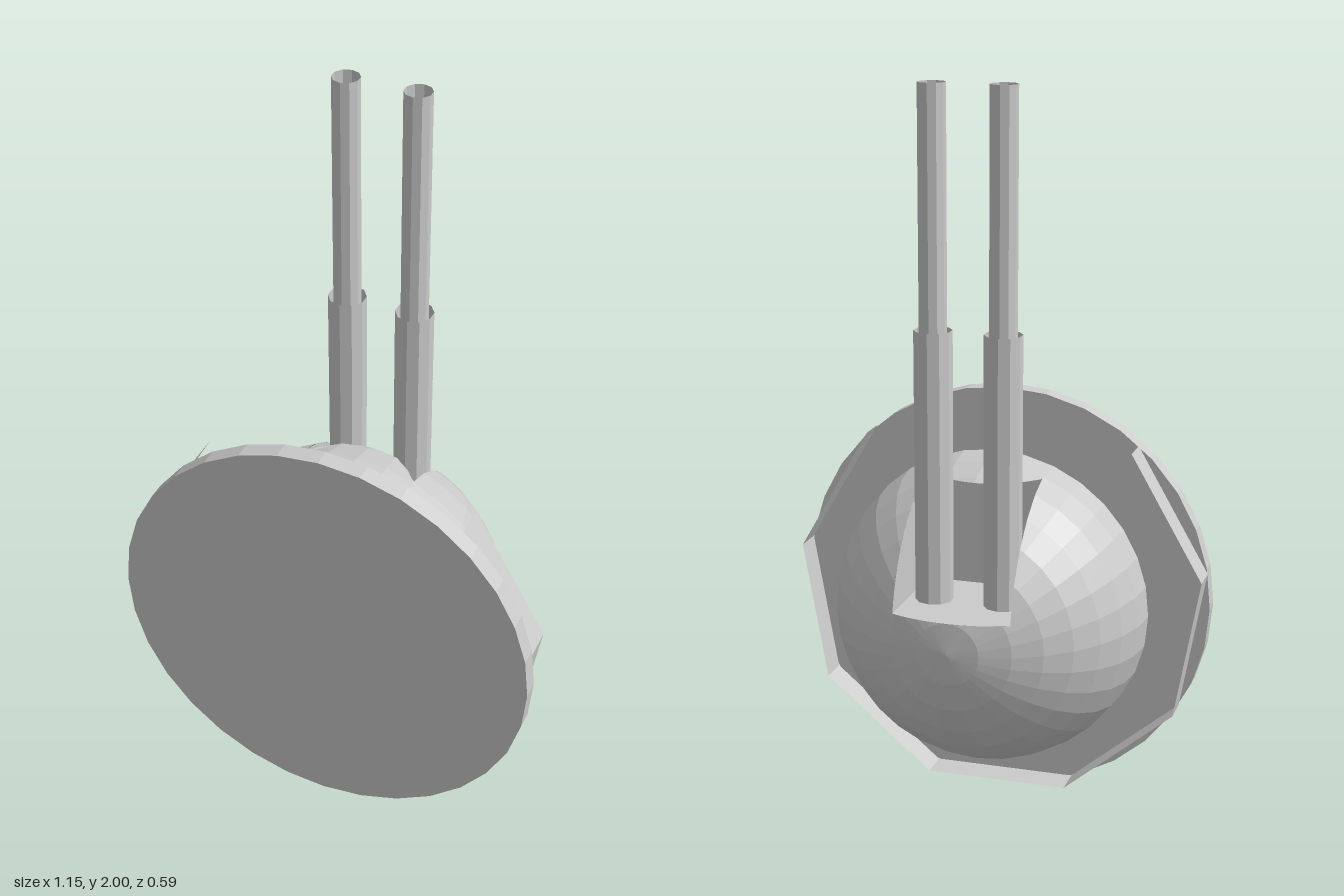
import * as THREE from 'three';

const CY = 0.577;                       // height of the mount's axis
const DOME = { r: 0.43, z: 0.135 };     // dome radius and rim position
const SLOT = { x: 0.158, low: 0.66, high: 0.965, front: 0.04 };

const material = new THREE.MeshStandardMaterial({
  color: 0xcccccc, flatShading: true, side: THREE.DoubleSide,
});

function addMesh(group, name, geometry) {
  const mesh = new THREE.Mesh(geometry, material);
  mesh.name = name;
  group.add(mesh);
  return mesh;
}

// Cylinder lying along z between two depths
function disc(radius, z0, z1, sides) {
  return new THREE.CylinderGeometry(radius, radius, z1 - z0, sides)
    .rotateX(Math.PI / 2)
    .translate(0, CY, (z0 + z1) / 2);
}

// Keep the part of a polygon where sign * (p[axis] - limit) >= 0
function clip(poly, axis, limit, sign) {
  const out = [];
  poly.forEach((a, i) => {
    const b = poly[(i + 1) % poly.length];
    const da = sign * (a[axis] - limit);
    const db = sign * (b[axis] - limit);
    if (da >= 0) out.push(a);
    if (da * db < 0) out.push(a.clone().lerp(b, da / (da - db)));
  });
  return out;
}

// Hemisphere bulging to the back, with the barrel slot cut out of its shell
function domeGeometry() {
  const src = new THREE.SphereGeometry(DOME.r, 32, 8, 0, Math.PI * 2, 0, Math.PI / 2)
    .rotateX(-Math.PI / 2)
    .translate(0, CY, DOME.z)
    .toNonIndexed();
  const pos = src.attributes.position;
  const points = [];
  for (let i = 0; i < pos.count; i += 3) {
    const tri = [0, 1, 2].map((k) => new THREE.Vector3().fromBufferAttribute(pos, i + k));
    const middle = clip(clip(tri, 'x', -SLOT.x, 1), 'x', SLOT.x, -1);
    const pieces = [
      clip(tri, 'x', SLOT.x, 1),
      clip(tri, 'x', -SLOT.x, -1),
      clip(middle, 'y', SLOT.low, -1),
      clip(middle, 'y', SLOT.high, 1),
    ];
    for (const p of pieces) {
      for (let k = 1; k < p.length - 1; k++) points.push(p[0], p[k], p[k + 1]);
    }
  }
  const geometry = new THREE.BufferGeometry().setFromPoints(points);
  geometry.computeVertexNormals();
  return geometry;
}

// Floor, sides, roof and front wall of the slot; the open end follows the dome
function slotGeometry() {
  const height = SLOT.high - SLOT.low;
  const geometry = new THREE.BoxGeometry(SLOT.x * 2, height, 1, 10, 10, 1)
    .translate(0, SLOT.low + height / 2, SLOT.front - 0.5);
  const pos = geometry.attributes.position;
  for (let i = 0; i < pos.count; i++) {
    if (pos.getZ(i) > SLOT.front - 0.5) continue;
    const dy = pos.getY(i) - CY;
    const r = DOME.r - 0.002;
    pos.setZ(i, DOME.z - Math.sqrt(r * r - pos.getX(i) ** 2 - dy * dy));
  }
  // The last of the box's six faces is the open one
  const openFace = geometry.groups[5];
  geometry.setIndex([...geometry.index.array].slice(0, openFace.start));
  geometry.clearGroups();
  geometry.computeVertexNormals();
  return geometry;
}

export function createModel() {
  const model = new THREE.Group();
  model.name = 'turret';

  addMesh(model, 'basePlate', disc(CY, 0.24, 0.29, 32));

  // Seven flat panels of a nine-sided collar, open at the top
  const collar = new THREE.Group();
  collar.name = 'collar';
  model.add(collar);
  const corner = (i) => {
    const a = THREE.MathUtils.degToRad(130 + i * 40);
    return new THREE.Vector2(CY * Math.cos(a), CY + CY * Math.sin(a));
  };
  for (let i = 0; i < 7; i++) {
    const a = corner(i);
    const b = corner(i + 1);
    const panel = addMesh(collar, 'collarPanel', new THREE.PlaneGeometry(a.distanceTo(b), 0.085));
    panel.geometry.rotateX(-Math.PI / 2);
    panel.position.set((a.x + b.x) / 2, (a.y + b.y) / 2, 0.1975);
    panel.rotation.z = Math.atan2(b.y - a.y, b.x - a.x) + Math.PI;
  }

  addMesh(model, 'neckRing', disc(0.38, 0.13, 0.225, 32));

  addMesh(model, 'dome', domeGeometry());
  addMesh(model, 'domeRim', new THREE.RingGeometry(0.37, DOME.r, 32).translate(0, CY, DOME.z));
  addMesh(model, 'barrelSlot', slotGeometry());

  // Twin upright barrels, each a thick sleeve and a thinner tube
  for (const x of [-0.096, 0.09]) {
    const barrel = new THREE.Group();
    barrel.name = x > 0 ? 'leftBarrel' : 'rightBarrel';
    barrel.position.set(x, 0, -0.112);
    model.add(barrel);
    const tube = (name, r, y0, y1) => addMesh(barrel, name,
      new THREE.CylinderGeometry(r, r, y1 - y0, 10, 1, true).translate(0, (y0 + y1) / 2, 0));
    tube('sleeve', 0.05, SLOT.low, 1.38);
    tube('muzzle', 0.036, SLOT.low, 2);
  }

  return model;
}
